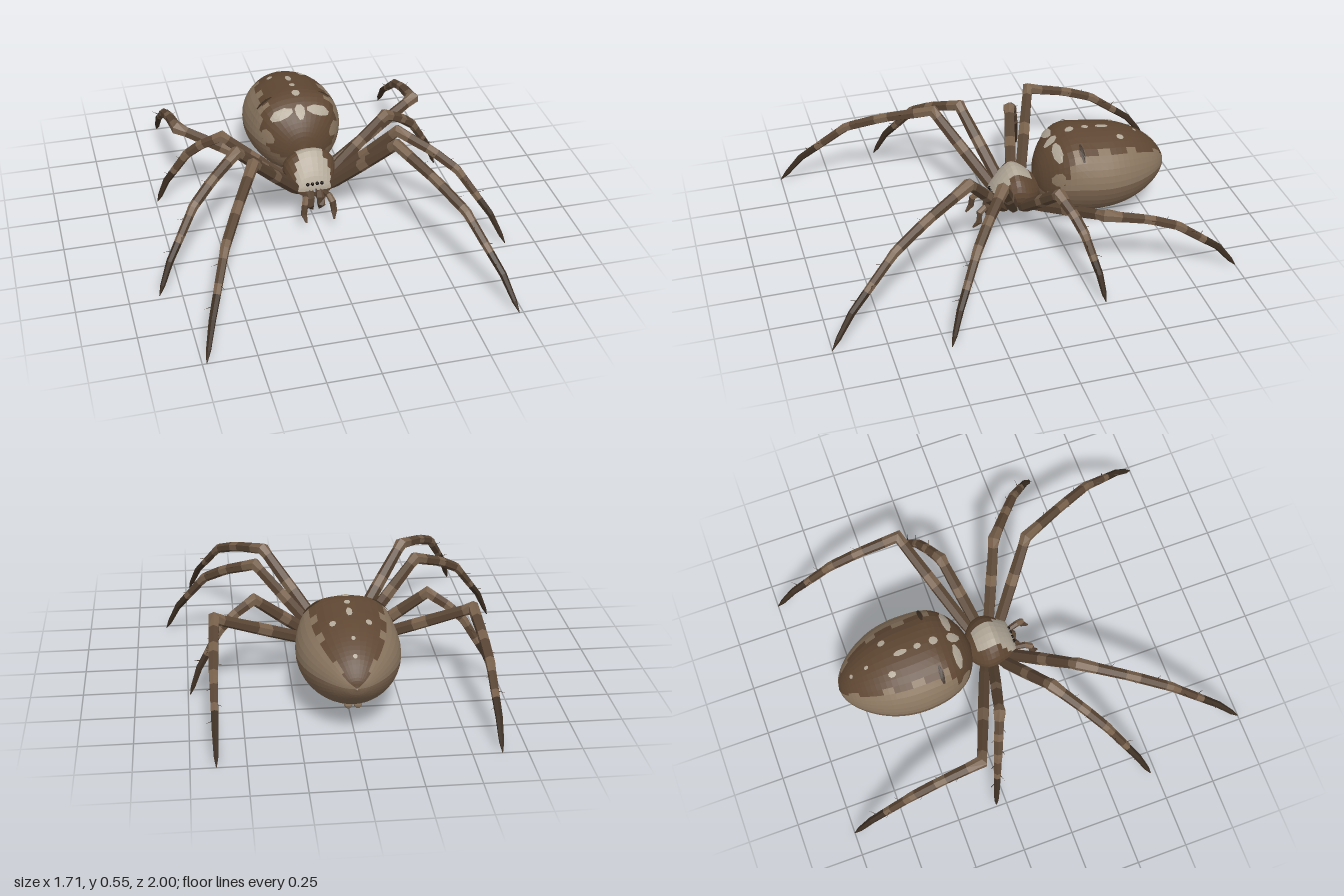
import * as THREE from 'three';

const V = (x, y, z) => new THREE.Vector3(x, y, z);
const mat = (name, color, side = THREE.FrontSide) =>
  Object.assign(new THREE.MeshStandardMaterial({ color, flatShading: true, side }), { name });

const M = {
  dark: mat('dark brown', 0x5f4733),
  mid: mat('mid brown', 0x78614c),
  tan: mat('tan', 0x89755f),
  leg: mat('leg brown', 0x594534),
  tip: mat('deep brown', 0x3d2f23),
  pale: mat('pale grey', 0xb3a999, THREE.DoubleSide),
  black: mat('black', 0x15110e),
};

// Skin a row of rings; pick(i, j) gives the material of each quad
function skin(name, rings, pick) {
  const bins = new Map();
  const n = rings[0].length;
  for (let i = 0; i < rings.length - 1; i++) for (let j = 0; j < n; j++) {
    const m = pick(i, j), k = (j + 1) % n;
    if (!bins.has(m)) bins.set(m, []);
    const a = rings[i][j], b = rings[i][k], c = rings[i + 1][k], d = rings[i + 1][j];
    for (const p of [a, b, c, a, c, d]) bins.get(m).push(p.x, p.y, p.z);
  }
  const geo = new THREE.BufferGeometry(), pos = [], mats = [];
  for (const [m, list] of bins) {
    geo.addGroup(pos.length / 3, list.length / 3, mats.length);
    mats.push(m);
    for (const v of list) pos.push(v);
  }
  geo.setAttribute('position', new THREE.Float32BufferAttribute(pos, 3));
  geo.computeVertexNormals();
  const mesh = new THREE.Mesh(geo, mats);
  mesh.name = name;
  return mesh;
}

// Faceted tube through stops [point, radius, material of the following span]
function limb(name, stops, sides = 6) {
  const rings = stops.map(([p, r], i) => {
    const a = stops[Math.max(i - 1, 0)][0], b = stops[Math.min(i + 1, stops.length - 1)][0];
    const d1 = p.clone().sub(a).normalize(), d2 = b.clone().sub(p).normalize();
    const t = d1.clone().add(d2).normalize();
    const inner = i > 0 && i < stops.length - 1;
    const rad = inner ? r * Math.min(1.3, 1 / Math.max(0.5, t.dot(d2))) : r;
    const s = V(0, 0, 0).crossVectors(t, V(0, 1, 0)).normalize();
    const n = V(0, 0, 0).crossVectors(s, t);
    return Array.from({ length: sides }, (_, j) => {
      const u = (j / sides) * Math.PI * 2;
      return p.clone().addScaledVector(n, rad * Math.cos(u)).addScaledVector(s, rad * Math.sin(u));
    });
  });
  const cap = (p) => Array.from({ length: sides }, () => p.clone());
  rings.unshift(cap(stops[0][0]));
  rings.push(cap(stops[stops.length - 1][0]));
  return skin(name, rings, (i) => stops[Math.min(Math.max(i - 1, 0), stops.length - 2)][2]);
}

// Smooth body from sections [z, half width, top, bottom]
function bodySurface(sections, shoulder) {
  const a = new THREE.CatmullRomCurve3(sections.map(([z, w]) => V(z, w, 0)), false, 'catmullrom');
  const b = new THREE.CatmullRomCurve3(sections.map(([, , t, l]) => V(t, l, 0)), false, 'catmullrom');
  const point = (u, t, lift = 0) => {
    const p = a.getPoint(t), q = b.getPoint(t);
    const g = shoulder * Math.exp(-(((p.x + 0.3) / 0.09) ** 2)) * Math.exp(-(((Math.abs(u) - 0.75) / 0.4) ** 2));
    const w = (Math.max(p.y, 0) + lift) * (1 + g), h = ((q.x - q.y) / 2 + lift) * (1 + g);
    return V(w * Math.sin(u), (q.x + q.y) / 2 + h * Math.cos(u), p.x);
  };
  const tAt = (z) => {
    let i = 0;
    while (i < sections.length - 2 && sections[i + 1][0] > z) i++;
    return (i + (sections[i][0] - z) / (sections[i][0] - sections[i + 1][0])) / (sections.length - 1);
  };
  const build = (name, around, along, pick) => {
    const rings = Array.from({ length: along + 1 }, (_, i) =>
      Array.from({ length: around }, (_, j) => point((j / around) * 2 * Math.PI - (j > around / 2 ? 2 * Math.PI : 0), i / along)));
    return skin(name, rings, (i, j) => {
      const u = ((j + 0.5) / around) * 2 * Math.PI;
      return pick(Math.min(u, 2 * Math.PI - u), a.getPoint((i + 0.5) / along).x);
    });
  };
  // Thin oval marking that follows the surface
  const spot = (name, u, z, du, dz, sides = 8, material = M.pale) => {
    const geo = new THREE.RingGeometry(0, 1, sides, 3, Math.PI / sides);
    const at = geo.attributes.position;
    for (let i = 0; i < at.count; i++) {
      const p = point(u + at.getX(i) * du, tAt(z - at.getY(i) * dz), 0.005);
      at.setXYZ(i, p.x, p.y, p.z);
    }
    geo.computeVertexNormals();
    const mesh = new THREE.Mesh(geo, material);
    mesh.name = name;
    return mesh;
  };
  return { build, spot };
}

function ball(name, p, r, material, sy = 1) {
  const m = new THREE.Mesh(new THREE.SphereGeometry(r, 8, 6), material);
  m.position.copy(p);
  m.scale.y = sy;
  m.name = name;
  return m;
}

// Leg through hip, knee, shin joint and tip, with pale rings and spines
function makeLeg(name, joints, side) {
  const [hip, knee, shin, tip] = joints.map(([x, y, z]) => V(x * side, y, z));
  const at = (a, b, f, up = 0) => a.clone().lerp(b, f).add(V(0, up, 0));
  const ankle = at(shin, tip, 0.68, 0.035);
  const g = new THREE.Group();
  g.name = name;
  g.add(limb('segments', [
    [hip, 0.022, M.leg], [at(hip, knee, 0.12), 0.03, M.leg], [at(hip, knee, 0.5), 0.031, M.mid],
    [at(hip, knee, 0.62), 0.03, M.leg], [at(hip, knee, 0.92), 0.027, M.mid], [knee, 0.027, M.mid],
    [at(knee, shin, 0.2, 0.004), 0.027, M.leg], [at(knee, shin, 0.5, 0.012), 0.025, M.mid],
    [at(knee, shin, 0.65, 0.012), 0.025, M.leg], [at(knee, shin, 0.93, 0.004), 0.024, M.mid],
    [shin, 0.023, M.mid], [at(shin, ankle, 0.15), 0.021, M.leg], [at(shin, ankle, 0.5), 0.02, M.mid],
    [at(shin, ankle, 0.65), 0.019, M.tip], [ankle, 0.017, M.tip], [at(ankle, tip, 0.7), 0.012, M.tip], [tip, 0.002, M.tip],
  ]));
  [[knee, shin, 0.3], [knee, shin, 0.55], [knee, shin, 0.8], [shin, ankle, 0.2], [shin, ankle, 0.5], [shin, ankle, 0.8]]
    .forEach(([a, b, f], i) => {
      const d = b.clone().sub(a).normalize();
      const s = V(0, 0, 0).crossVectors(d, V(0, 1, 0)).normalize();
      const n = V(0, 0, 0).crossVectors(s, d);
      const dir = d.multiplyScalar(0.6).addScaledVector(s, i % 2 ? 0.8 : -0.8).addScaledVector(n, 0.6).normalize();
      const spine = new THREE.Mesh(new THREE.ConeGeometry(0.003, 0.05, 3), M.tip);
      spine.name = 'spine';
      spine.position.copy(at(a, b, f)).addScaledVector(dir, 0.033);
      spine.quaternion.setFromUnitVectors(V(0, 1, 0), dir);
      g.add(spine);
    });
  return g;
}

export function createModel() {
  const root = new THREE.Group();
  root.name = 'spider';

  // Abdomen with a scalloped dark back, tan border and brown belly
  const abdomen = bodySurface([
    [-0.165, 0.01, 0.28, 0.24], [-0.19, 0.1, 0.37, 0.16], [-0.25, 0.18, 0.45, 0.11], [-0.35, 0.23, 0.505, 0.08],
    [-0.48, 0.245, 0.5, 0.07], [-0.6, 0.228, 0.48, 0.085], [-0.7, 0.185, 0.44, 0.12],
    [-0.78, 0.125, 0.385, 0.17], [-0.83, 0.06, 0.32, 0.225], [-0.845, 0.004, 0.275, 0.265],
  ], 0.09);
  root.add(abdomen.build('abdomen', 40, 36, (u, z) => {
    const edge = 0.76 + 0.09 * Math.sin(z * 42) + (z > -0.33 ? (z + 0.33) * 9 : 0);
    if (u < Math.min(edge, 1.9)) return M.dark;
    return u < 1.55 ? M.tan : M.mid;
  }));
  // Back markings: [angle, z, angular half size, z half size]
  [[0, -0.255, 0.14, 0.032], [0, -0.35, 0.09, 0.022], [0, -0.43, 0.06, 0.018], [0, -0.515, 0.06, 0.034],
    [0, -0.69, 0.05, 0.012], [0, -0.77, 0.08, 0.01]].forEach((m) => root.add(abdomen.spot('backSpot', ...m)));
  for (const s of [1, -1]) {
    root.add(abdomen.spot('shoulderBar', s * 0.5, -0.262, 0.33, 0.022));
    root.add(abdomen.spot('sideSpot', s * 0.36, -0.585, 0.07, 0.02));
    root.add(abdomen.spot('flankPatch', s * 1.25, -0.25, 0.2, 0.03, 8, M.tan));
    root.add(abdomen.spot('shoulderFold', s * 0.72, -0.365, 0.22, 0.012, 8, M.tip));
    root.add(ball('spinneret', V(s * 0.022, 0.115, -0.69), 0.02, M.tan));
    root.add(ball('spinneret', V(s * 0.022, 0.105, -0.65), 0.018, M.tan));
  }

  // Head and thorax with a pale face and crown
  const thorax = bodySurface([
    [0.058, 0.01, 0.19, 0.17], [0.05, 0.08, 0.215, 0.14], [0.02, 0.098, 0.27, 0.13], [-0.05, 0.128, 0.345, 0.128],
    [-0.11, 0.128, 0.325, 0.13], [-0.16, 0.09, 0.28, 0.145], [-0.2, 0.03, 0.24, 0.18],
  ], 0);
  root.add(thorax.build('thorax', 24, 18, (u, z) => {
    if (u > 2.1) return M.leg;
    const edge = z > 0.02 ? 1.7 : z > -0.14 ? 0.55 + Math.max(0, z + 0.04) * 8 : 0;
    return u < edge ? M.pale : M.dark;
  }));
  for (const x of [-0.036, -0.012, 0.012, 0.036])
    root.add(ball('eye', V(x, 0.214, 0.05), 0.009, M.black));

  for (const s of [1, -1]) {
    const label = s > 0 ? 'left' : 'right';
    // Jaws and fangs
    root.add(limb(label + 'Jaw', [[V(s * 0.026, 0.18, 0.035), 0.02, M.leg], [V(s * 0.028, 0.14, 0.06), 0.026, M.leg],
      [V(s * 0.028, 0.1, 0.07), 0.02, M.tip], [V(s * 0.015, 0.08, 0.075), 0.003, M.tip]]));
    // Feelers
    root.add(limb(label + 'Feeler', [[V(s * 0.045, 0.15, 0.03), 0.014, M.leg], [V(s * 0.06, 0.168, 0.1), 0.015, M.mid],
      [V(s * 0.07, 0.15, 0.13), 0.015, M.leg], [V(s * 0.077, 0.1, 0.135), 0.015, M.leg],
      [V(s * 0.07, 0.068, 0.165), 0.005, M.leg]]));
    // Four walking legs
    [
      ['FrontLeg', [[0.07, 0.155, 0], [0.35, 0.515, 0.255], [0.57, 0.36, 0.665], [0.73, 0, 1]]],
      ['SecondLeg', [[0.09, 0.155, -0.04], [0.4, 0.495, 0.105], [0.65, 0.35, 0.3], [0.855, 0, 0.475]]],
      ['ThirdLeg', [[0.09, 0.155, -0.08], [0.42, 0.425, -0.165], [0.59, 0.3, -0.235], [0.74, 0, -0.3]]],
      ['HindLeg', [[0.08, 0.16, -0.12], [0.615, 0.405, -0.325], [0.63, 0.285, -0.69], [0.635, 0, -1]]],
    ].forEach(([name, joints]) => root.add(makeLeg(label + name, joints, s)));
  }
  return root;
}
